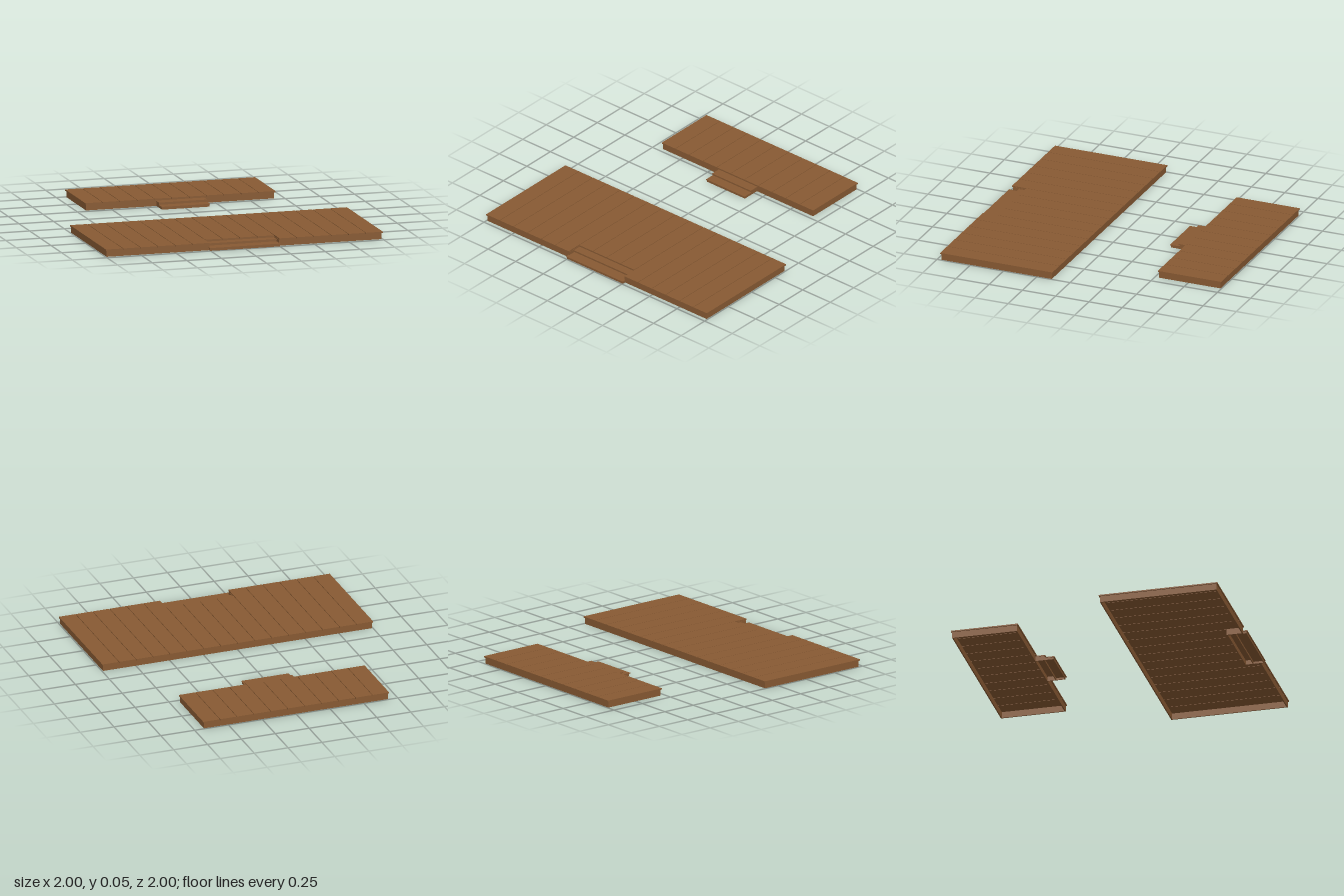
import * as THREE from 'three';

const wood = new THREE.MeshStandardMaterial({ color: 0x885a33 });
wood.name = 'wood';

// Box given by its limits on each axis
function box(parent, name, x0, x1, y0, y1, z0, z1) {
  const mesh = new THREE.Mesh(new THREE.BoxGeometry(x1 - x0, y1 - y0, z1 - z0), wood);
  mesh.position.set((x0 + x1) / 2, (y0 + y1) / 2, (z0 + z1) / 2);
  mesh.name = name;
  parent.add(mesh);
}

const TOP = 0.053, WALL = 0.044, T = 0.008, LIP = 0.007, GAP = 0.004;

// Hollow deck; notch is an optional recess { half, z } in the front edge
function deck(name, half, z0, z1, count, notch) {
  const g = new THREE.Group();
  g.name = name;
  // planks with narrow gaps between them
  const pitch = (2 * half + GAP) / count;
  for (let k = 0; k < count; k++) {
    const x = -half + k * pitch, w = pitch - GAP;
    const short = notch && Math.abs(x + w / 2) < notch.half;
    box(g, 'plank', x, x + w, WALL, TOP, z0, short ? notch.z : z1);
  }
  // skirt boards under the planks
  const a = half - LIP, b = z0 + LIP, f = z1 - LIP;
  box(g, 'backSkirt', -a, a, 0, WALL, b, b + T);
  box(g, 'leftSkirt', a - T, a, 0, WALL, b + T, f - T);
  box(g, 'rightSkirt', -a, -a + T, 0, WALL, b + T, f - T);
  if (notch) {
    const n = notch.half, r = notch.z - LIP;
    box(g, 'frontSkirt', -a, -n, 0, WALL, f - T, f);
    box(g, 'frontSkirt', n, a, 0, WALL, f - T, f);
    box(g, 'notchRiser', -n, n, 0, WALL, r - T, r);
    box(g, 'notchSide', -n - T, -n, 0, WALL, r - T, f - T);
    box(g, 'notchSide', n, n + T, 0, WALL, r - T, f - T);
  } else {
    box(g, 'frontSkirt', -a, a, 0, WALL, f - T, f);
  }
  return g;
}

// Two shallow hollow steps: treads on risers with closed ends
function steps(name, half, zBack, zMid, zFront) {
  const g = new THREE.Group();
  g.name = name;
  const levels = [[0.038, zBack, zMid], [0.021, zMid - LIP, zFront]];
  for (const [top, z0, z1] of levels) {
    const under = top - 0.006, f = z1 - LIP, a = half - 0.004;
    box(g, 'tread', -half, half, under, top, z0, z1);
    box(g, 'riser', -a, a, 0, under, f - 0.006, f);
    box(g, 'stepEnd', -a, -a + 0.006, 0, under, z0, f - 0.006);
    box(g, 'stepEnd', a - 0.006, a, 0, under, z0, f - 0.006);
  }
  return g;
}

export function createModel() {
  const model = new THREE.Group();
  model.name = 'deckPair';
  model.add(
    deck('frontDeck', 1, 0.133, 0.977, 16, { half: 0.25, z: 0.868 }),
    steps('frontSteps', 0.256, 0.862, 0.925, 1),
    deck('backDeck', 0.686, -1, -0.524, 11),
    steps('backSteps', 0.175, -0.53, -0.46, -0.395)
  );
  return model;
}
